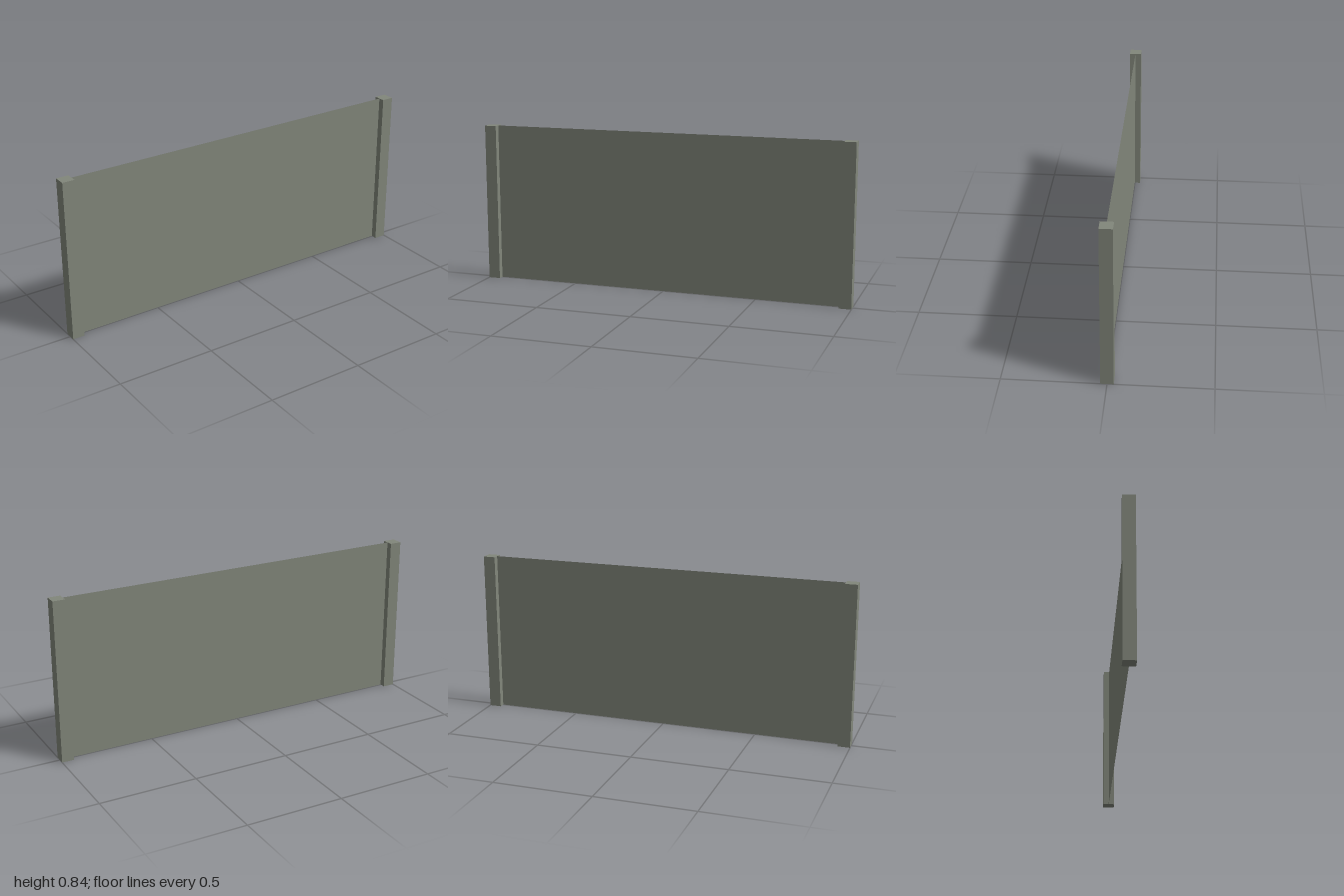
import * as THREE from 'three';

const HEIGHT = 0.84;
const POST = 0.063;

export function createModel() {
  const group = new THREE.Group();
  group.name = 'fencePanel';

  const postGrey = new THREE.MeshStandardMaterial({ color: 0x82877b });
  postGrey.name = 'greyGreen';
  // The sheet has no thickness, so it shows from both sides
  const sheetGrey = postGrey.clone();
  sheetGrey.name = 'greyGreenSheet';
  sheetGrey.side = THREE.DoubleSide;

  // Square end posts
  const postGeometry = new THREE.BoxGeometry(POST, HEIGHT, POST);
  for (const [name, side] of [['leftPost', 1], ['rightPost', -1]]) {
    const post = new THREE.Mesh(postGeometry, postGrey);
    post.name = name;
    post.position.set(side * (1 - POST / 2), HEIGHT / 2, 0);
    group.add(post);
  }

  // Thin sheet spanning the posts
  const sheet = new THREE.Mesh(new THREE.PlaneGeometry(2 - 2 * POST, HEIGHT), sheetGrey);
  sheet.name = 'sheet';
  sheet.position.y = HEIGHT / 2;
  group.add(sheet);

  return group;
}
